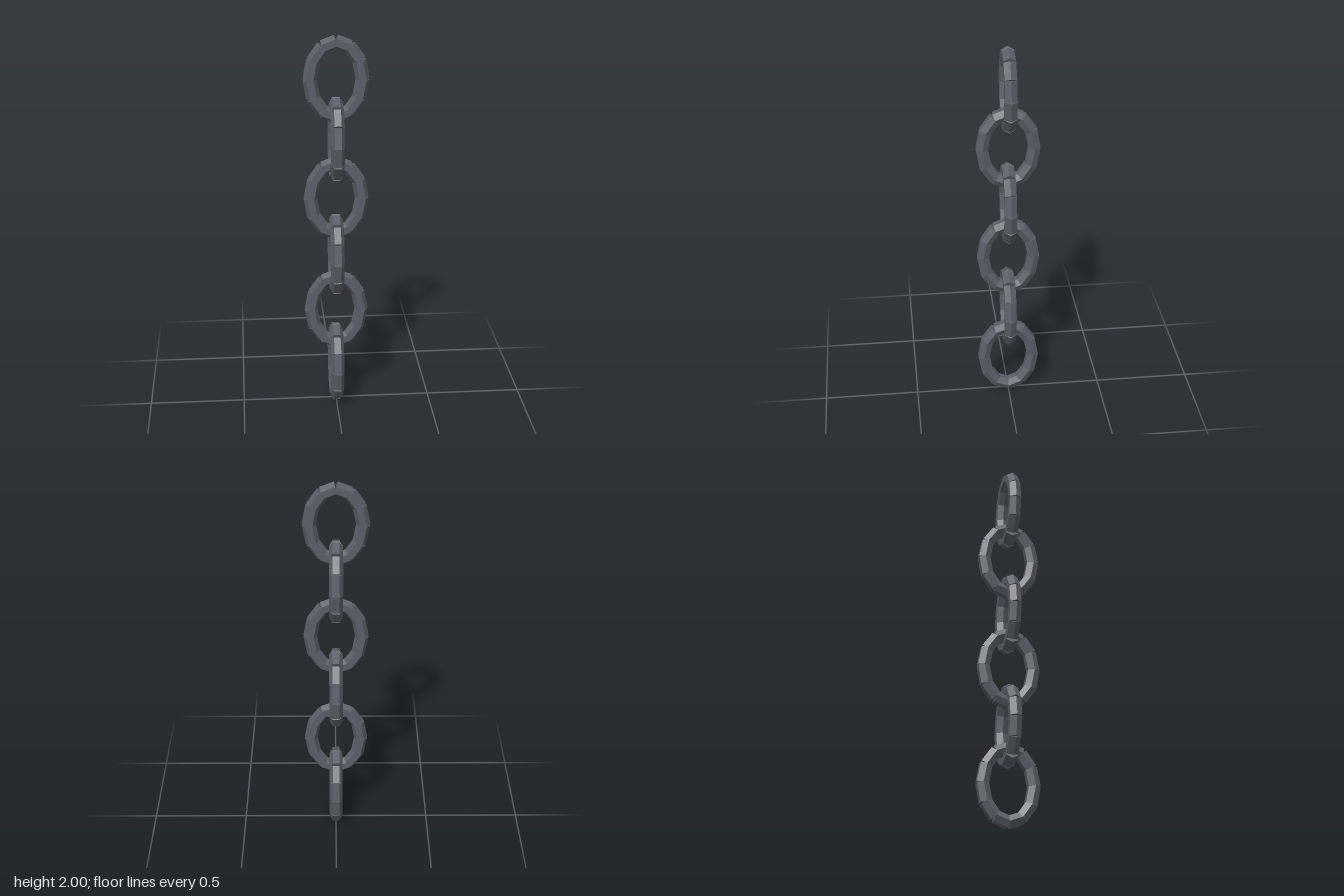
import * as THREE from 'three';

const LINKS = 6, SEGMENTS = 12;
const HALF_WIDTH = 0.132, HALF_HEIGHT = 0.19, BAR = 0.035, PITCH = 0.312, FIRST = 0.218;

export function createModel() {
  const steel = new THREE.MeshStandardMaterial({ color: 0x5c5d68, flatShading: true });
  steel.name = 'dark steel';
  const model = new THREE.Group();
  model.name = 'chain';

  // Straight six-sided bar of unit length, with ridges pointing along x
  const bar = new THREE.CylinderGeometry(BAR, BAR, 1, 6, 1, false, Math.PI / 2);
  const up = new THREE.Vector3(0, 1, 0);

  for (let i = 0; i < LINKS; i++) {
    const link = new THREE.Group();
    link.name = 'link' + (i + 1);
    link.position.y = FIRST + i * PITCH;
    const facesFront = i % 2 === 1; // alternate links turn a quarter
    const point = (k) => {
      const t = (k / SEGMENTS) * Math.PI * 2;
      const across = HALF_WIDTH * Math.cos(t), y = HALF_HEIGHT * Math.sin(t);
      return facesFront ? new THREE.Vector3(across, y, 0) : new THREE.Vector3(0, y, across);
    };

    // Bars laid end to end around the oval
    for (let k = 0; k < SEGMENTS; k++) {
      const a = point(k), b = point(k + 1);
      const dir = b.clone().sub(a);
      const length = dir.length();
      dir.normalize();
      if (dir.y < 0) dir.negate();
      const segment = new THREE.Mesh(bar, steel);
      segment.name = 'linkSegment';
      segment.position.copy(a).add(b).multiplyScalar(0.5);
      segment.quaternion.setFromUnitVectors(up, dir);
      segment.scale.y = length * 1.05;
      link.add(segment);
    }
    model.add(link);
  }
  return model;
}
